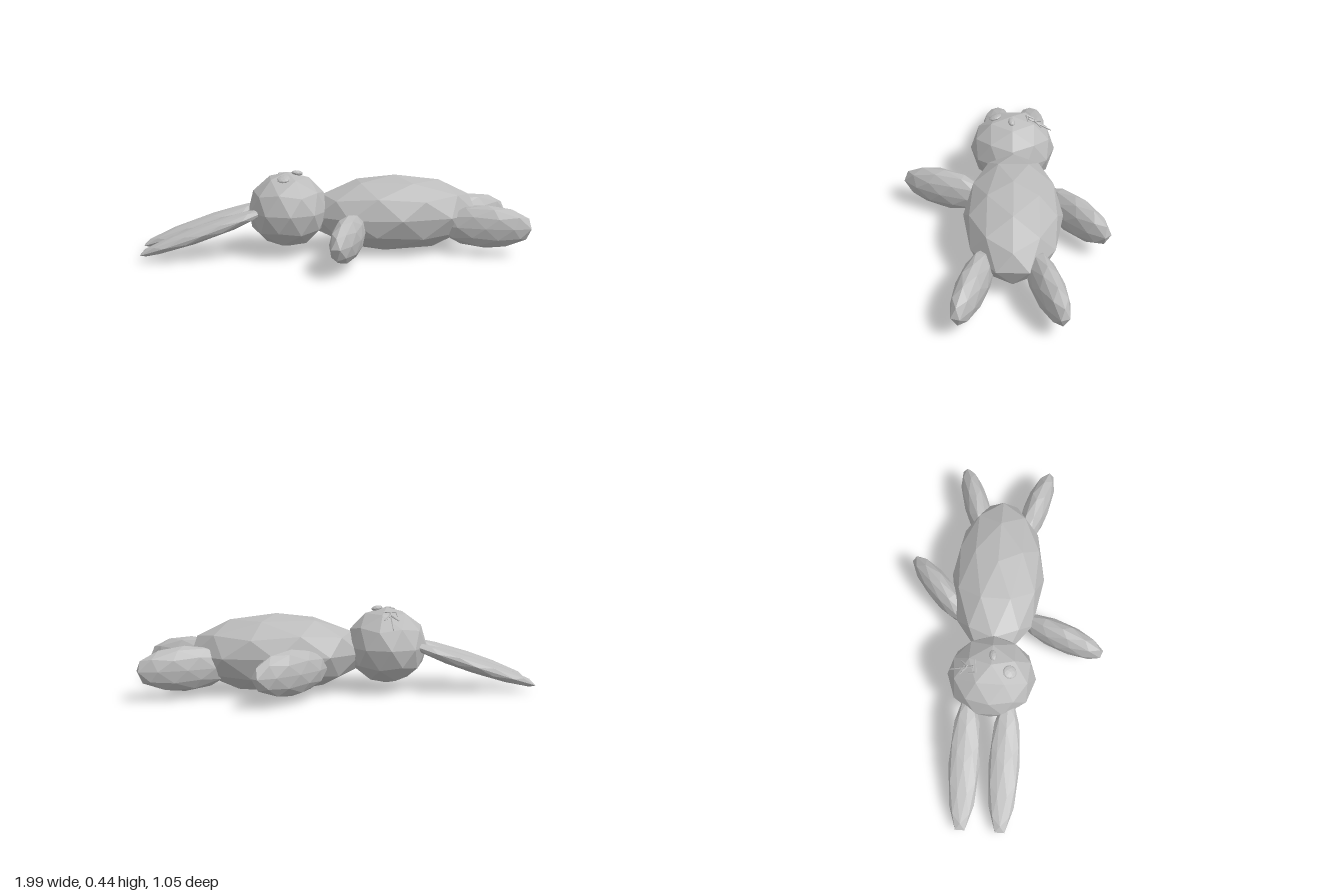
import * as THREE from 'three';

export function createModel() {
  const model = new THREE.Group();
  model.name = 'lyingRabbit';
  const grey = new THREE.MeshStandardMaterial({ color: 0xbcbcbc, flatShading: true });
  grey.name = 'plush grey';

  // Faceted ball with a corner at the top and bottom, scaled to an ellipsoid
  const ball = (name, radii, position, yaw = 0, tilt = 0) => {
    const geo = new THREE.IcosahedronGeometry(1, 1);
    geo.rotateZ(Math.atan(2 / (1 + Math.sqrt(5)))).rotateY(Math.PI);
    geo.scale(...radii);
    const mesh = new THREE.Mesh(geo, grey);
    mesh.name = name;
    mesh.position.set(...position);
    mesh.rotation.set(0, yaw, tilt);
    model.add(mesh);
    return mesh;
  };

  // Thin tapered stitch between two points
  const stitch = (name, from, to, r0 = 0.007, r1 = 0.003) => {
    const a = new THREE.Vector3(...from), b = new THREE.Vector3(...to);
    const dir = b.clone().sub(a);
    const mesh = new THREE.Mesh(new THREE.CylinderGeometry(r1, r0, dir.length(), 5), grey);
    mesh.name = name;
    mesh.position.copy(a).add(b).multiplyScalar(0.5);
    mesh.quaternion.setFromUnitVectors(new THREE.Vector3(0, 1, 0), dir.normalize());
    model.add(mesh);
  };

  // Body and head
  ball('body', [0.45, 0.2025, 0.245], [0.32, 0.2025, -0.055]);
  ball('head', [0.21, 0.197, 0.226], [-0.245, 0.234, -0.048]);

  // Ears slope down to the ground
  for (const [name, z] of [['leftEar', 0.045], ['rightEar', -0.155]])
    ball(name, [0.352, 0.04, 0.078], [-0.68, 0.143, z], 0, 0.323);

  // Limbs: centre and direction toward the tip, in x and z
  const limbs = [
    ['leftArm', 0.025, 0.3, -0.085, 0.215],
    ['rightArm', 0.25, -0.36, 0.17, -0.155],
    ['leftLeg', 0.77, 0.122, 0.21, 0.065],
    ['rightLeg', 0.77, -0.208, 0.22, -0.075],
  ];
  for (const [name, x, z, dx, dz] of limbs)
    ball(name, [0.243, 0.113, 0.069], [x, 0.152, z], Math.atan2(-dz, dx));

  // Open eye and nose
  ball('openEye', [0.034, 0.012, 0.036], [-0.27, 0.409, 0.045]).rotation.set(0.35, 0, 0.12);
  ball('nose', [0.03, 0.014, 0.018], [-0.195, 0.425, -0.043], 0.15, -0.15);

  // Stitched winking eye
  stitch('winkLine', [-0.254, 0.41, -0.134], [-0.254, 0.34, -0.255]);
  stitch('winkLashA', [-0.252, 0.401, -0.165], [-0.288, 0.378, -0.2], 0.006);
  stitch('winkLashB', [-0.25, 0.401, -0.165], [-0.217, 0.38, -0.2], 0.006);
  stitch('winkCorner', [-0.285, 0.412, -0.12], [-0.285, 0.396, -0.158], 0.006);
  stitch('winkBase', [-0.285, 0.412, -0.122], [-0.218, 0.414, -0.13], 0.006);

  return model;
}
